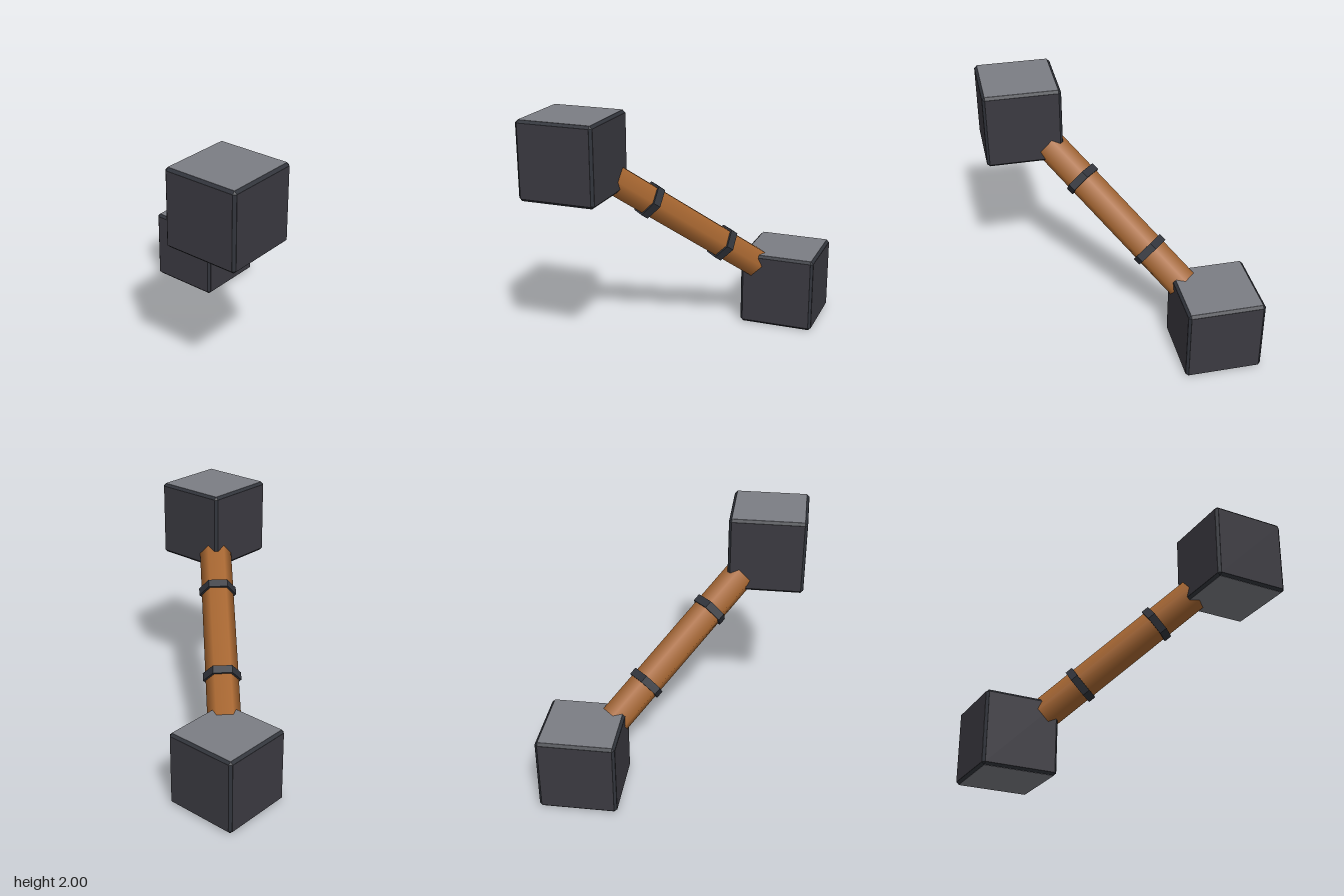
import * as THREE from 'three';
import { ConvexGeometry } from 'three/addons/geometries/ConvexGeometry.js';

const SIZE = 0.636;    // edge length of each end block
const BEVEL = 0.022;
const PLATE = 0.004;

const makeMaterial = (name, color) => {
  const material = new THREE.MeshStandardMaterial({ color });
  material.name = name;
  return material;
};

const add = (parent, name, geometry, material) => {
  const mesh = new THREE.Mesh(geometry, material);
  mesh.name = name;
  parent.add(mesh);
  return mesh;
};

// Box with straight 45 degree bevels: each corner becomes three points
function bevelledBox(half, bevel) {
  const points = [];
  for (const x of [-1, 1]) for (const y of [-1, 1]) for (const z of [-1, 1]) {
    for (let axis = 0; axis < 3; axis++) {
      const p = [x, y, z].map((s, i) => s * (i === axis ? half : half - bevel));
      points.push(new THREE.Vector3(...p));
    }
  }
  return new ConvexGeometry(points);
}

export function createModel() {
  const wood = makeMaterial('wood', 0xa86731);
  const iron = makeMaterial('dark iron', 0x31343b);
  const sideStone = makeMaterial('dark side', 0x3b3a41);
  const capStone = makeMaterial('grey cap', 0x7b7d84);

  const model = new THREE.Group();
  model.name = 'diagonalStrut';

  // End blocks: bevelled core with a thin plate on each face
  const coreGeometry = bevelledBox(SIZE / 2 - 0.001, BEVEL);
  const faceSize = SIZE - 2 * BEVEL;
  for (const side of [-1, 1]) {
    const block = new THREE.Group();
    block.name = side > 0 ? 'upperBlock' : 'lowerBlock';
    const c = side * (1 - SIZE / 2);
    block.position.set(c, 1 + c, c);
    add(block, 'blockCore', coreGeometry, iron);
    for (let axis = 0; axis < 3; axis++) {
      for (const sign of [-1, 1]) {
        const size = [faceSize, faceSize, faceSize];
        size[axis] = PLATE;
        const plate = add(block, axis === 1 ? 'capPlate' : 'sidePlate',
          new THREE.BoxGeometry(...size), axis === 1 ? capStone : sideStone);
        plate.position.setComponent(axis, sign * (SIZE - PLATE) / 2);
      }
    }
    model.add(block);
  }

  // Pole group: its y axis runs along the diagonal between the blocks
  const pole = new THREE.Group();
  pole.name = 'pole';
  pole.position.y = 1;
  pole.quaternion.setFromRotationMatrix(new THREE.Matrix4().makeBasis(
    new THREE.Vector3(1, 1, -2).normalize(),
    new THREE.Vector3(1, 1, 1).normalize(),
    new THREE.Vector3(1, -1, 0).normalize()
  ));
  model.add(pole);

  // Six-sided shaft with soft shading
  add(pole, 'shaft', new THREE.CylinderGeometry(0.135, 0.135, 2, 6), wood);

  // Two six-sided bands with hard edges
  const bandGeometry = new THREE.CylinderGeometry(0.156, 0.156, 0.066, 6).toNonIndexed();
  bandGeometry.computeVertexNormals();
  for (const side of [-1, 1]) {
    add(pole, 'band', bandGeometry, iron).position.y = side * 0.405;
  }

  return model;
}
